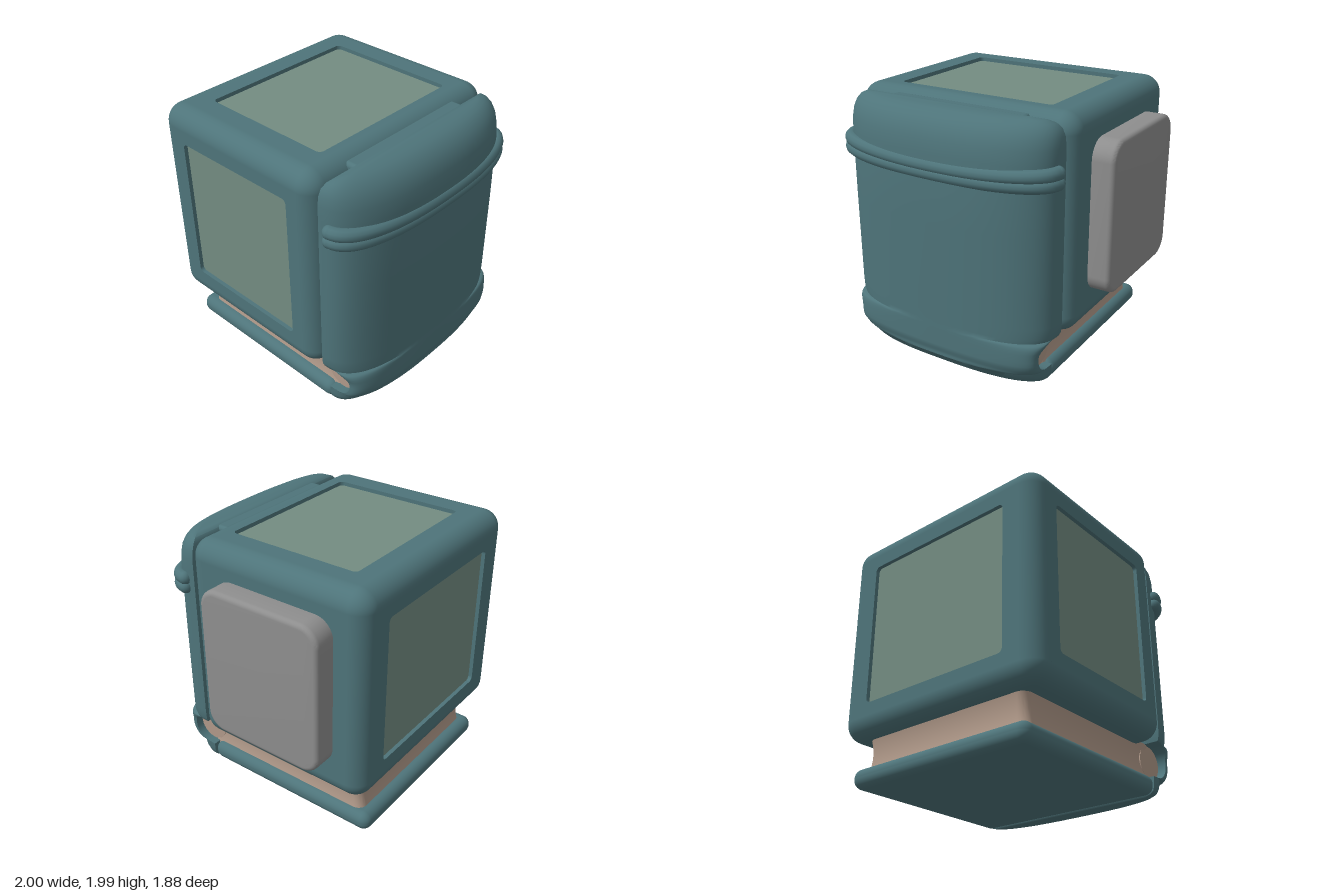
import * as THREE from 'three';
import { toCreasedNormals } from 'three/addons/utils/BufferGeometryUtils.js';
import { RoundedBoxGeometry } from 'three/addons/geometries/RoundedBoxGeometry.js';

const CX = -0.085; // shared x centre of the case

// Rounded rectangle outline from its bounds
function roundRect(path, x0, x1, y0, y1, r) {
  path.moveTo(x0 + r, y0);
  path.lineTo(x1 - r, y0).absarc(x1 - r, y0 + r, r, -Math.PI / 2, 0);
  path.lineTo(x1, y1 - r).absarc(x1 - r, y1 - r, r, 0, Math.PI / 2);
  path.lineTo(x0 + r, y1).absarc(x0 + r, y1 - r, r, Math.PI / 2, Math.PI);
  path.lineTo(x0, y0 + r).absarc(x0 + r, y0 + r, r, Math.PI, Math.PI * 1.5);
  return path;
}

// Point on the bowed plan of the flap, t running from its left edge to its right edge
function bowPoint(t, y, w, front, back) {
  const c = Math.cos(t), e = 2 / 2.6;
  return new THREE.Vector3(
    CX + w * Math.sign(c) * Math.abs(c) ** e, y,
    back + (front - back) * Math.max(0, Math.sin(t)) ** e);
}

// Solid lofted through rows of [y, half width, front z, back z]
function loftFlap(rows, n = 40) {
  const pos = [], index = [], m = n + 1;
  for (const [y, w, f, b] of rows)
    for (let j = 0; j <= n; j++) pos.push(...bowPoint(Math.PI * j / n, y, w, f, b).toArray());
  for (let i = 0; i < rows.length - 1; i++)
    for (let j = 0; j < m; j++) {
      const a = i * m + j, b = i * m + (j + 1) % m;
      index.push(a, a + m, b, b, a + m, b + m);
    }
  const top = (rows.length - 1) * m;
  for (let j = 1; j < n; j++) index.push(0, j, j + 1, top, top + j + 1, top + j);
  const g = new THREE.BufferGeometry();
  g.setAttribute('position', new THREE.Float32BufferAttribute(pos, 3));
  g.setIndex(index);
  return toCreasedNormals(g, 0.9);
}

export function createModel() {
  const model = new THREE.Group();
  const mat = (name, color) => {
    const m = new THREE.MeshStandardMaterial({ color });
    m.name = name;
    return m;
  };
  const teal = mat('teal', 0x4e747a);
  const grey = mat('grey', 0x8e8e8e);
  const glass = mat('pale green', 0x738c81);
  const tan = mat('tan', 0xb09989);

  const add = (name, geo, material, parent = model) => {
    const m = new THREE.Mesh(geo, material);
    m.name = name;
    parent.add(m);
    return m;
  };
  const box = (name, x0, x1, y0, y1, z0, z1, r, material) => {
    const m = add(name, new RoundedBoxGeometry(x1 - x0, y1 - y0, z1 - z0, 6, r), material);
    m.position.set((x0 + x1) / 2, (y0 + y1) / 2, (z0 + z1) / 2);
    return m;
  };

  // Cube body, with the flat top, back and right faces left open for the windows
  const R = 0.14, X0 = -1, X1 = 0.83, Y0 = 0.38, Y1 = 2, Z0 = -0.94, Z1 = 0.56;
  const body = box('cubeBody', X0, X1, Y0, Y1, Z0, Z1, R, teal);
  const src = body.geometry.toNonIndexed ? body.geometry : null;
  const p = src.attributes.position, q = src.attributes.normal;
  const keepP = [], keepN = [], eps = 1e-4;
  const hx = (X1 - X0) / 2, hy = (Y1 - Y0) / 2, hz = (Z1 - Z0) / 2;
  for (let i = 0; i < p.count; i += 3) {
    const v = [0, 1, 2].map(k => i + k);
    const open = v.every(k => p.getY(k) > hy - eps) || v.every(k => p.getX(k) < -hx + eps)
      || v.every(k => p.getZ(k) < -hz + eps);
    if (open) continue;
    for (const k of v) {
      keepP.push(p.getX(k), p.getY(k), p.getZ(k));
      keepN.push(q.getX(k), q.getY(k), q.getZ(k));
    }
  }
  body.geometry = new THREE.BufferGeometry();
  body.geometry.setAttribute('position', new THREE.Float32BufferAttribute(keepP, 3));
  body.geometry.setAttribute('normal', new THREE.Float32BufferAttribute(keepN, 3));

  // Recessed window: a frame plate with a hole and a pane behind it
  const window = (name, outer, inner) => {
    const g = new THREE.Group();
    g.name = name;
    const shape = roundRect(new THREE.Shape(), ...outer, 0.001);
    shape.holes.push(roundRect(new THREE.Path(), ...inner, 0.035));
    const frame = new THREE.ExtrudeGeometry(shape, { depth: 0.04, bevelEnabled: false, curveSegments: 6 });
    add(name + 'Frame', frame.translate(0, 0, -0.04), teal, g);
    const pane = new THREE.PlaneGeometry(inner[1] - inner[0] + 0.02, inner[3] - inner[2] + 0.02);
    pane.translate((inner[0] + inner[1]) / 2, (inner[2] + inner[3]) / 2, -0.03);
    add(name + 'Pane', pane, glass, g);
    model.add(g);
    return g;
  };
  const topWindow = window('topWindow', [X0 + R, X1 - R, -Z1 + R, -Z0 - R], [-0.72, 0.56, -0.37, 0.68]);
  topWindow.rotation.x = -Math.PI / 2;
  topWindow.position.y = Y1;
  const backWindow = window('backWindow', [-X1 + R, -X0 - R, Y0 + R, Y1 - R], [-0.56, 0.72, 0.62, 1.76]);
  backWindow.rotation.y = Math.PI;
  backWindow.position.z = Z0;
  const sideWindow = window('sideWindow', [Z0 + R, Z1 - R, Y0 + R, Y1 - R], [-0.7, 0.33, 0.62, 1.76]);
  sideWindow.rotation.y = -Math.PI / 2;
  sideWindow.position.x = X0;

  // Grey pad on the left side
  const bev = 0.035;
  const padShape = roundRect(new THREE.Shape(), -0.3 + bev, 0.7 - bev, 0.635 + bev, 1.78 - bev, 0.11);
  const padGeo = new THREE.ExtrudeGeometry(padShape, {
    depth: 0.15, bevelSize: bev, bevelThickness: bev, bevelSegments: 5, curveSegments: 10 });
  const pad = add('sidePad', toCreasedNormals(padGeo, 0.7), grey);
  pad.rotation.y = Math.PI / 2;
  pad.position.x = 1 - bev - 0.15;

  // Page block with slightly hollow sides and a round front
  const pageGeo = new THREE.ExtrudeGeometry(
    roundRect(new THREE.Shape(), -0.735, 0.735, -0.74, 0.74, 0.07),
    { depth: 0.28, steps: 8, bevelEnabled: false, curveSegments: 6 });
  const pp = pageGeo.attributes.position;
  for (let i = 0; i < pp.count; i++) {
    const s = 1 - 0.025 * (1 - ((pp.getZ(i) - 0.14) / 0.14) ** 2);
    pp.setXY(i, pp.getX(i) * s, pp.getY(i) * s);
  }
  const pages = add('pages', toCreasedNormals(pageGeo, 0.7), tan);
  pages.rotation.x = -Math.PI / 2;
  pages.position.set(CX, 0.13, -0.09);
  const pageFront = add('pageFront', new THREE.CylinderGeometry(0.127, 0.127, 1.45, 32), tan);
  pageFront.rotation.z = Math.PI / 2;
  pageFront.position.set(CX, 0.28, 0.635);

  // Bottom cover
  box('bottomCover', -0.88, 0.7, 0.01, 0.16, -0.91, 0.59, 0.07, teal);

  // Front flap and spine, hollowed at the back around the pages
  const rows = [[0.012, 0.7, 0.66, 0.58], [0.025, 0.755, 0.75, 0.57], [0.05, 0.78, 0.81, 0.57],
    [0.09, 0.79, 0.86, 0.57], [0.152, 0.792, 0.9, 0.57]];
  for (let k = 0; k <= 12; k++) {
    const a = -Math.PI / 2 + Math.PI * k / 12, y = 0.28 + 0.125 * Math.sin(a);
    const w = 0.79 + 0.045 * THREE.MathUtils.smoothstep(y, 0.3, 0.42);
    rows.push([y, w, y < 0.2 ? 0.905 : 0.92, 0.635 + 0.125 * Math.cos(a)]);
  }
  rows.push([0.408, 0.845, 0.92, 0.57], [0.44, 0.858, 0.92, 0.565], [0.52, 0.863, 0.92, 0.565],
    [1.2, 0.863, 0.925, 0.565], [1.7, 0.863, 0.92, 0.565], [1.8, 0.863, 0.905, 0.565],
    [1.87, 0.855, 0.88, 0.565], [1.92, 0.835, 0.845, 0.57], [1.955, 0.8, 0.805, 0.585],
    [1.975, 0.75, 0.765, 0.61], [1.985, 0.67, 0.72, 0.645]);
  add('frontFlap', loftFlap(rows), teal);

  // Hinge strip joining flap and cube
  box('hinge', -0.65, 0.48, 1.84, 1.965, 0.5, 0.64, 0.03, teal);

  // Double strap around the flap
  for (const [name, mid, rise] of [['upperStrap', 1.612, 0.035], ['lowerStrap', 1.558, 0.02]]) {
    const pts = [];
    for (let j = 0; j <= 28; j++) {
      const t = 0.06 + (Math.PI - 0.12) * j / 28;
      const y = mid + rise * Math.abs(Math.cos(t)) ** 1.5;
      pts.push(bowPoint(t, y, 0.86, 0.892, 0.63));
    }
    const r = 0.05;
    add(name, new THREE.TubeGeometry(new THREE.CatmullRomCurve3(pts), 72, r, 12), teal);
    for (const end of [pts[0], pts[28]])
      add(name + 'End', new THREE.SphereGeometry(r, 14, 10), teal).position.copy(end);
  }
  return model;
}
